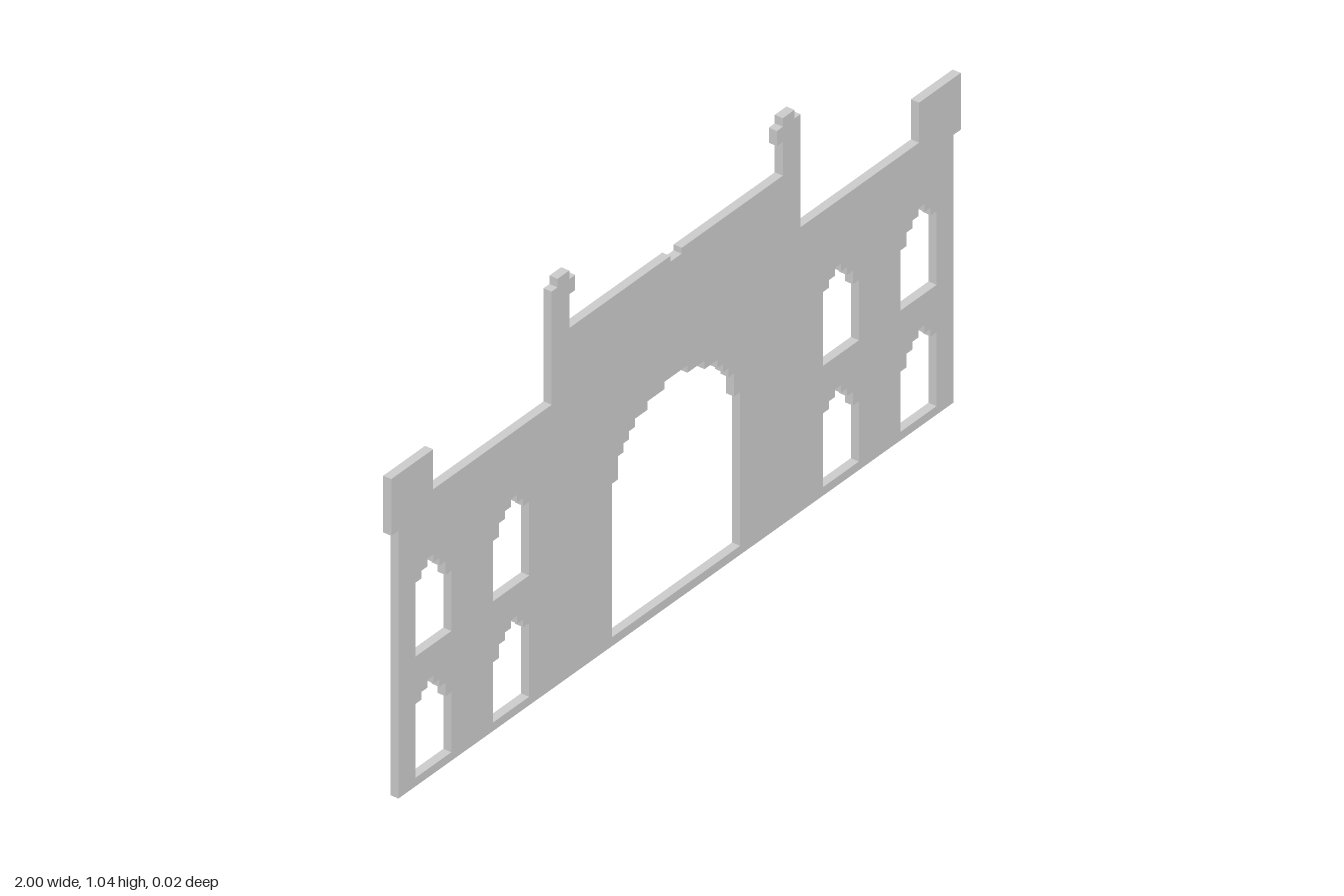
import * as THREE from 'three';

const DEPTH = 0.022;

// Right half of the stepped skyline, from the base up to the centre notch
const skyline = [
  [0.975, 0], [0.975, 0.689], [1, 0.689], [1, 0.835], [0.853, 0.835], [0.853, 0.732],
  [0.437, 0.732], [0.437, 1.023], [0.416, 1.023], [0.416, 1.045], [0.375, 1.045], [0.375, 1.023],
  [0.354, 1.023], [0.354, 0.984], [0.375, 0.984], [0.375, 0.897], [0.02, 0.897], [0.02, 0.882],
];

// Right half of the stepped gateway arch, from the sill up to the crown
const arch = [
  [0.225, 0.023], [0.225, 0.418], [0.204, 0.418], [0.204, 0.478], [0.185, 0.478], [0.185, 0.501],
  [0.165, 0.501], [0.165, 0.522], [0.145, 0.522], [0.145, 0.543], [0.1, 0.543], [0.1, 0.565],
  [0.04, 0.565], [0.04, 0.584],
];

// Window outline, measured from its high-shouldered bottom corner
const windowOutline = [
  [0, 0], [0, 0.19], [0.021, 0.19], [0.021, 0.21], [0.042, 0.21], [0.042, 0.23],
  [0.063, 0.23], [0.063, 0.21], [0.084, 0.21], [0.084, 0.19], [0.105, 0.19],
  [0.105, 0.155], [0.126, 0.155], [0.126, 0],
];

const toPoints = (list) => list.map(([x, y]) => new THREE.Vector2(x, y));
// Closes a half outline with its mirror image, counter-clockwise
const mirrored = (half) => toPoints([...half, ...half.map(([x, y]) => [-x, y]).reverse()]);

export function createModel() {
  const group = new THREE.Group();
  group.name = 'gatehouseFacade';

  const wall = new THREE.Shape(mirrored(skyline));
  wall.holes.push(new THREE.Path(mirrored(arch)));

  // Two rows of windows, paired on each side of the gateway
  for (const side of [-1, 1]) {
    for (const sill of [0.022, 0.334]) {
      for (const [start, dir] of [[0.915, -1], [0.516, 1]]) {
        const outline = windowOutline.map(([u, v]) => [side * (start + dir * u), sill + v]);
        wall.holes.push(new THREE.Path(toPoints(outline)));
      }
    }
  }

  const geometry = new THREE.ExtrudeGeometry(wall, { depth: DEPTH, bevelEnabled: false });
  geometry.translate(0, 0, -DEPTH / 2);
  const facade = new THREE.Mesh(
    geometry,
    new THREE.MeshStandardMaterial({ color: 0xcccccc, flatShading: true })
  );
  facade.name = 'facadeWall';
  group.add(facade);
  return group;
}
